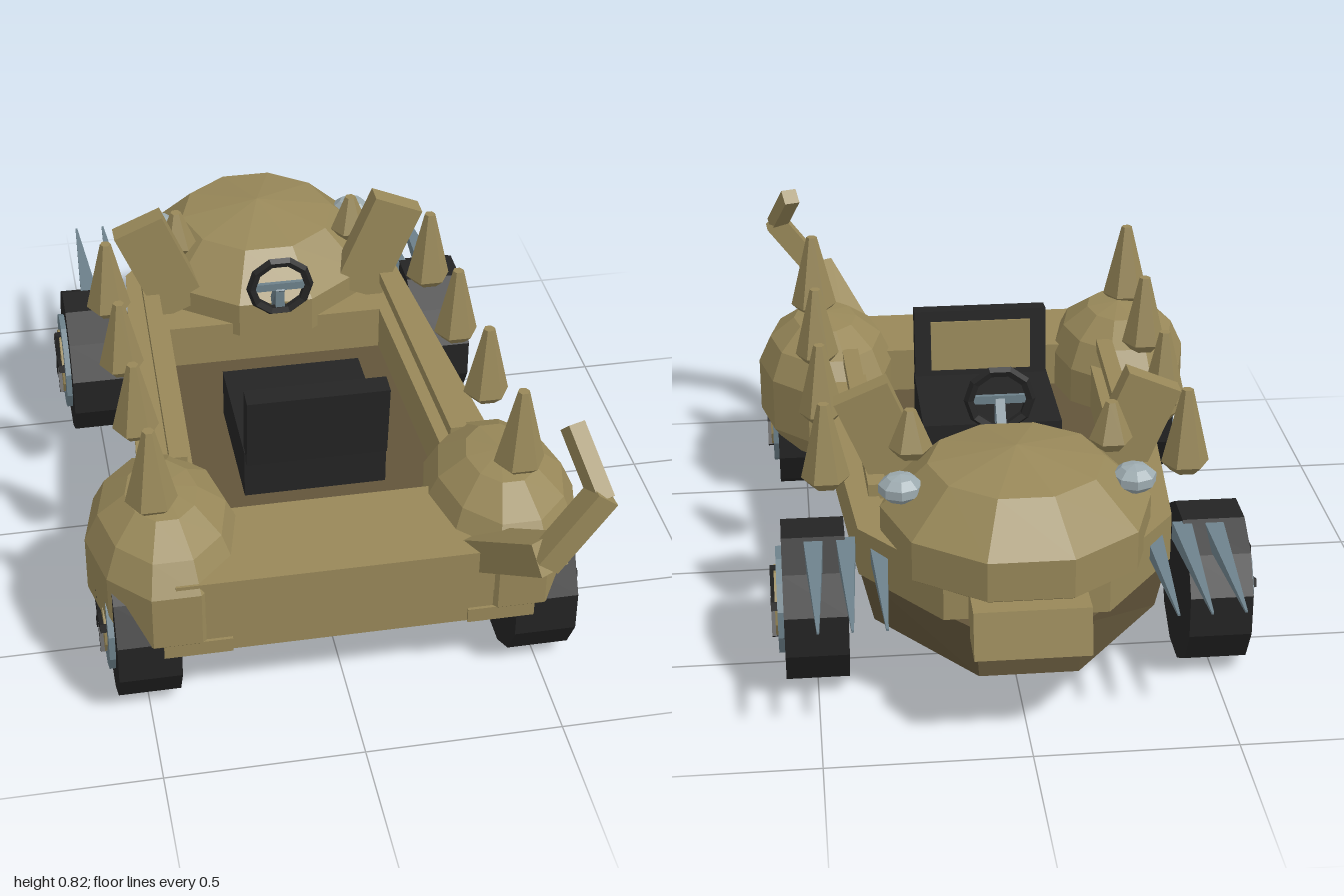
import * as THREE from 'three';

const paint = (name, color) => {
  const m = new THREE.MeshStandardMaterial({ color, flatShading: true });
  m.name = name;
  return m;
};

export function createModel() {
  const car = new THREE.Group();
  car.name = 'spikedKart';
  const gold = paint('sandGold', 0x988859);
  const brown = paint('darkBrown', 0x62553a);
  const black = paint('black', 0x242424);
  const steel = paint('steelBlue', 0x6d818b);
  const pale = paint('paleGrey', 0x9dabb0);

  const add = (name, geo, mat, x = 0, y = 0, z = 0, parent = car) => {
    const mesh = new THREE.Mesh(geo, mat);
    mesh.name = name;
    mesh.position.set(x, y, z);
    parent.add(mesh);
    return mesh;
  };
  const box = (name, mat, w, h, d, x, y, z, parent) =>
    add(name, new THREE.BoxGeometry(w, h, d), mat, x, y, z, parent);
  // Square bar joining two points
  const bar = (name, mat, a, b, w, h = w) => {
    const p = new THREE.Vector3(...a), q = new THREE.Vector3(...b);
    const mid = p.clone().add(q).multiplyScalar(0.5);
    const mesh = box(name, mat, w, h, p.distanceTo(q), mid.x, mid.y, mid.z);
    mesh.lookAt(q);
    return mesh;
  };
  // Faceted dome: ten sides, a flat facet facing front and back
  const dome = (name, mat, profile, x, z, sx, sz) => {
    const pts = profile.map(([r, y]) => new THREE.Vector2(r, y));
    const mesh = add(name, new THREE.LatheGeometry(pts, 10, Math.PI / 10), mat, x, 0, z);
    mesh.scale.set(sx, 1, sz);
    return mesh;
  };
  // Horizontal slab from a half outline of [x, z] points
  const slab = (half, y0, y1, hole) => {
    const full = h => [...h, ...h.map(([x, z]) => [-x, z]).reverse()]
      .map(([x, z]) => new THREE.Vector2(x, -z));
    const shape = new THREE.Shape(full(half));
    if (hole) shape.holes.push(new THREE.Path(full(hole)));
    const g = new THREE.ExtrudeGeometry(shape, { depth: y1 - y0, bevelEnabled: false });
    return g.rotateX(-Math.PI / 2).translate(0, y0, 0);
  };

  // Lower tub, drawn in towards the bottom
  const tub = slab([[0.41, 0.78], [0.46, 0.3], [0.385, -0.6], [0.13, -0.9]], 0.17, 0.3);
  const tp = tub.attributes.position;
  for (let i = 0; i < tp.count; i++) {
    if (tp.getY(i) > 0.2) continue;
    tp.setX(i, tp.getX(i) * 0.92);
    if (tp.getZ(i) > 0.7) tp.setZ(i, tp.getZ(i) - 0.06);
  }
  add('lowerTub', tub, brown);

  // Upper body with cockpit opening
  add('upperBody', slab(
    [[0.43, 0.8], [0.465, 0.3], [0.39, -0.6], [0.2, -0.85]], 0.3, 0.425,
    [[0.33, 0.52], [0.3, -0.3]]), gold);
  box('rearPanel', gold, 0.82, 0.1, 0.2, 0, 0.26, 0.699);

  // Rounded nose and jaw
  dome('noseDome', gold, [[0, 0.3], [0.25, 0.33], [0.345, 0.39], [0.345, 0.49],
    [0.225, 0.6], [0, 0.64]], 0, -0.61, 0.97, 0.985);
  const jaw = new THREE.BoxGeometry(0.28, 0.115, 0.3);
  const jp = jaw.attributes.position;
  for (let i = 0; i < jp.count; i++)
    if (jp.getY(i) > 0 && jp.getZ(i) < 0) jp.setZ(i, jp.getZ(i) + 0.025);
  add('jaw', jaw, gold, 0, 0.325, -0.845);

  // Seat
  box('seatBase', black, 0.375, 0.14, 0.37, 0, 0.37, 0.135);
  const back = new THREE.Group();
  back.name = 'seatBack';
  back.position.set(0, 0.52, 0.325);
  back.rotation.x = 0.1;
  car.add(back);
  box('backrest', black, 0.37, 0.21, 0.055, 0, 0, 0, back);
  box('backrestPad', gold, 0.28, 0.14, 0.009, 0, 0.005, -0.031, back);

  // Steering wheel and column
  add('steeringWheel', new THREE.TorusGeometry(0.08, 0.014, 5, 10), black, 0, 0.588, -0.22);
  box('steeringCrossbar', steel, 0.15, 0.022, 0.012, 0, 0.588, -0.22);
  box('steeringStem', steel, 0.025, 0.08, 0.012, 0, 0.55, -0.22);
  bar('steeringColumn', steel, [0, 0.585, -0.22], [0, 0.46, -0.32], 0.025);

  // Bent tail
  bar('tailBase', gold, [0.335, 0.385, 0.74], [0.445, 0.525, 0.95], 0.085);
  bar('tailMiddle', gold, [0.43, 0.51, 0.955], [0.565, 0.69, 0.945], 0.062);
  bar('tailTip', gold, [0.56, 0.675, 0.955], [0.515, 0.805, 0.825], 0.045);

  // Spike: six-sided, blunt tip, small tapered foot
  const spike = (x, y0, y1, z, r) => {
    const pts = [[0, y0 - 0.01], [r * 0.6, y0 - 0.005], [r, y0 + 0.02], [0.015, y1], [0, y1]];
    const g = new THREE.LatheGeometry(pts.map(p => new THREE.Vector2(...p)), 6, Math.PI / 6);
    add('bodySpike', g, gold, x, 0, z);
  };

  const wheel = (s, z) => {
    const g = new THREE.Group();
    g.name = 'wheel';
    g.position.set(s * 0.5, 0.2, z);
    car.add(g);
    const disc = (name, mat, r, w, x) => add(name,
      new THREE.CylinderGeometry(r, r, w, 12).rotateY(Math.PI / 12).rotateZ(Math.PI / 2),
      mat, s * x, 0, 0, g);
    disc('tyre', black, 0.206, 0.157, 0);
    disc('rim', steel, 0.138, 0.03, 0.079);
    disc('hub', gold, 0.092, 0.03, 0.085);
    for (let i = 0; i < 5; i++) {
      const spoke = new THREE.BoxGeometry(0.03, 0.095, 0.022).translate(s * 0.095, 0.045, 0);
      add('spoke', spoke, black, 0, 0, 0, g).rotation.x = i * Math.PI * 0.4;
    }
  };

  for (const s of [1, -1]) {
    wheel(s, 0.605);
    wheel(s, -0.53);

    // Rear fender and bumper
    dome('rearFender', gold, [[0, 0.11], [0.14, 0.17], [0.195, 0.25], [0.195, 0.4],
      [0.16, 0.475], [0.09, 0.53], [0, 0.545]], s * 0.43, 0.55, 1, 1.4);
    box('rearBumper', gold, 0.17, 0.04, 0.03, s * 0.38, 0.23, 0.792);

    // Cockpit rail
    bar('cockpitRail', gold, [s * 0.365, 0.478, 0.38], [s * 0.335, 0.478, -0.5], 0.045, 0.032);

    // Ear plate leaning outwards
    box('ear', gold, 0.145, 0.3, 0.06, s * 0.31, 0.575, -0.41).rotation.z = -s * 0.4;

    // Eye
    add('eye', new THREE.SphereGeometry(0.057, 8, 5), pale, s * 0.285, 0.555, -0.645)
      .scale.y = 0.63;

    spike(s * 0.46, 0.53, 0.755, 0.605, 0.065);
    spike(s * 0.46, 0.51, 0.72, 0.275, 0.06);
    spike(s * 0.46, 0.48, 0.69, -0.055, 0.06);
    spike(s * 0.46, 0.45, 0.67, -0.39, 0.062);
    spike(s * 0.25, 0.57, 0.69, -0.49, 0.055);

    // Steel side blades sweeping past the nose
    for (const x of [0.34, 0.42, 0.5]) {
      const g = new THREE.CylinderGeometry(0.004, 0.034, 0.41, 4)
        .rotateY(Math.PI / 4).rotateX(-Math.PI / 2);
      add('sideBlade', g, steel, s * x, 0.366, -0.785).rotation.x = -0.02;
    }
  }
  return car;
}
